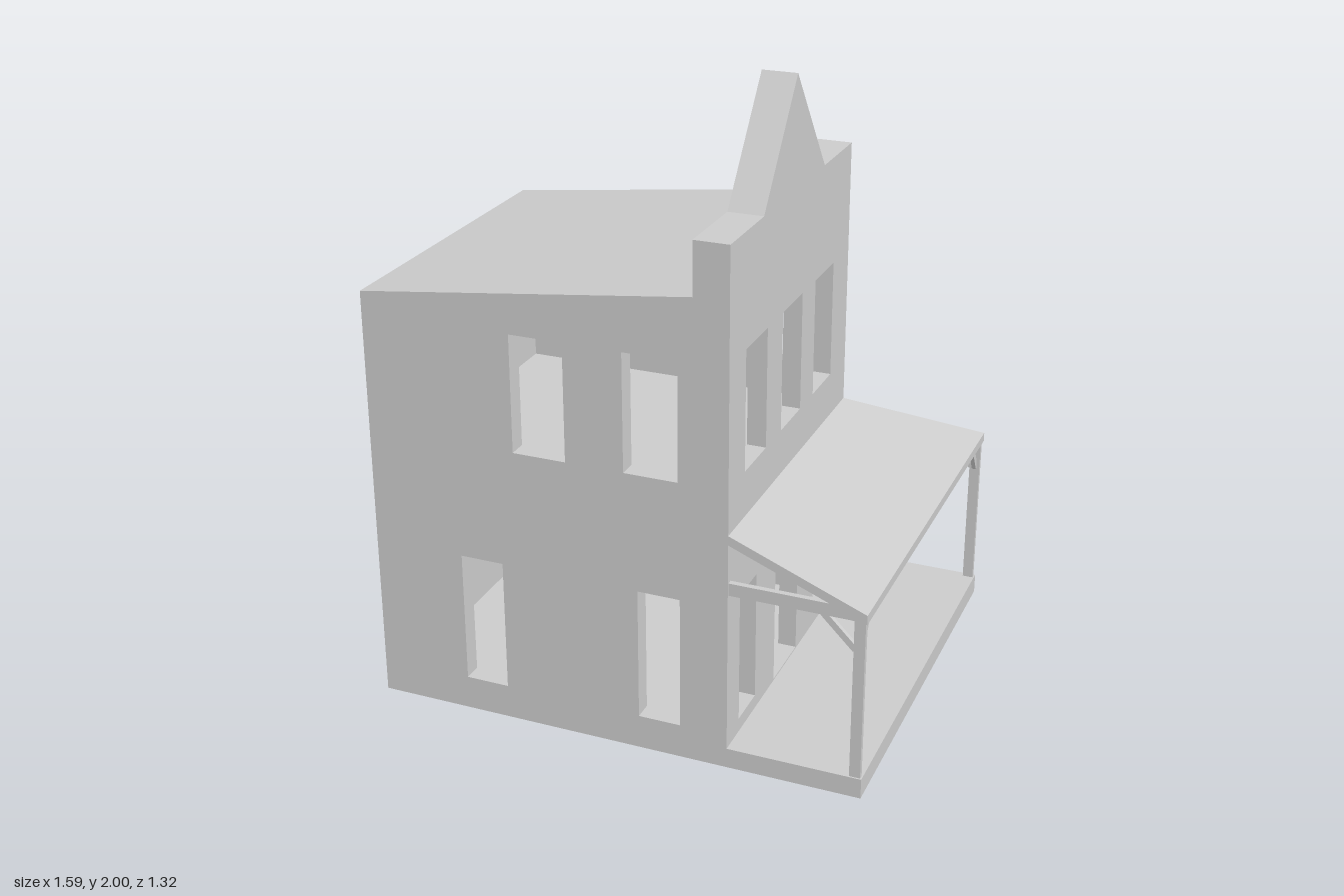
import * as THREE from 'three';

const mat = new THREE.MeshStandardMaterial({ color: 0xcccccc, flatShading: true });

// main dimensions
const X0 = -0.795, X1 = 0.37, Z0 = -0.395, Z1 = 0.66, T = 0.06;
const PX = 0.79, PZ = -0.66, PL = -0.37; // porch extents
const BASE = 0.065;

export function createModel() {
  const model = new THREE.Group();

  const add = (name, geometry) => {
    const mesh = new THREE.Mesh(geometry, mat);
    mesh.name = name;
    model.add(mesh);
    return mesh;
  };
  const box = (name, x0, x1, y0, y1, z0, z1) =>
    add(name, new THREE.BoxGeometry(x1 - x0, y1 - y0, z1 - z0)
      .translate((x0 + x1) / 2, (y0 + y1) / 2, (z0 + z1) / 2));
  const poly = (pts) => pts.map(([x, y]) => new THREE.Vector2(x, y));
  // flat panel with rectangular openings [u0, u1, y0, y1]
  const panel = (outline, openings, depth) => {
    const shape = new THREE.Shape(poly(outline));
    for (const [a, b, c, d] of openings)
      shape.holes.push(new THREE.Path(poly([[a, c], [a, d], [b, d], [b, c]])));
    return new THREE.ExtrudeGeometry(shape, { depth, bevelEnabled: false });
  };

  // front and back walls under the sloping roof
  const side = [[X0, 0], [X1, 0], [X1, 1.49], [0.26, 1.49], [X0, 1.36]];
  add('frontWall', panel(side, [
    [-0.31, -0.14, 0.92, 1.295], [0.045, 0.215, 0.92, 1.295],
    [-0.5, -0.36, 0.11, 0.54], [0.085, 0.22, 0.11, 0.54],
  ], T).translate(0, 0, Z1 - T));
  add('backWall', panel(side, [
    [-0.33, -0.16, 0.92, 1.295], [0.06, 0.23, 0.92, 1.295],
    [-0.67, -0.53, 0.11, 0.54], [0.085, 0.22, 0.11, 0.54],
  ], T).translate(0, 0, Z0));

  // blank end wall
  box('endWall', X0, X0 + T, 0, 1.36, Z0 + T, Z1 - T);

  // entrance wall with door and windows, drawn in (-z, y)
  const a = -Z1, b = -Z0;
  add('entranceWall', panel(
    [[a + T, 0], [b - T, 0], [b - T, 1.49], [a + T, 1.49]], [
      [-0.53, -0.355, 0.925, 1.305], [-0.225, -0.05, 0.925, 1.305], [0.07, 0.245, 0.925, 1.305],
      [-0.56, -0.42, 0.11, 0.535], [0.125, 0.26, 0.11, 0.535],
      [-0.25, -0.04, 0.07, 0.5],
    ], T).rotateY(Math.PI / 2).translate(X1 - T, 0, 0));

  // stepped parapet with pointed gable
  add('parapet', panel(
    [[a, 1.49], [b, 1.49], [b, 1.655], [0.13, 1.655], [-0.135, 2], [-0.4, 1.655], [a, 1.655]],
    [], 0.11).rotateY(Math.PI / 2).translate(X1 - 0.11, 0, 0));

  // roof slab and floors
  add('mainRoof', panel(
    [[X0, 1.31], [X1 - T, 1.44], [X1 - T, 1.49], [0.26, 1.49], [X0, 1.36]],
    [], Z1 - Z0 - 2 * T).translate(0, 0, Z0 + T));
  box('groundFloor', X0 + T, X1 - T, 0, BASE, Z0 + T, Z1 - T);
  box('upperFloor', X0 + T, X1 - T, 0.74, 0.79, Z0 + T, Z1 - T);

  // wraparound porch deck
  box('porchDeckSide', X1, PX, 0, BASE, PZ, Z1);
  box('porchDeckBack', PL, X1, 0, BASE, PZ, Z0);

  // porch roof: three cross-sections, mitred at the corner
  const section = (rx, rz, ex, ez) =>
    [[rx, 0.78, rz], [ex, 0.612, ez], [ex, 0.582, ez], [rx, 0.75, rz]];
  const sections = [
    section(X1, Z1, PX, Z1), section(X1, Z0, PX, PZ), section(PL, Z0, PL, PZ),
  ];
  const pos = [];
  const quad = (p, q, r, s) => pos.push(...p, ...q, ...r, ...p, ...r, ...s);
  for (let i = 0; i < 2; i++) {
    const s = sections[i], t = sections[i + 1];
    for (let k = 0; k < 4; k++) {
      const n = (k + 1) % 4;
      quad(s[k], s[n], t[n], t[k]);
    }
  }
  quad(...[...sections[0]].reverse());
  quad(...sections[2]);
  const roof = new THREE.BufferGeometry();
  roof.setAttribute('position', new THREE.Float32BufferAttribute(pos, 3));
  roof.computeVertexNormals();
  add('porchRoof', roof);

  // porch beams
  box('frontEndBeam', X1, 0.755, 0.585, 0.625, Z1 - 0.022, Z1 - 0.004);
  box('backEndBeam', PL + 0.004, PL + 0.035, 0.585, 0.62, PZ + 0.02, Z0);
  box('sideEaveBeam', 0.752, 0.785, 0.578, 0.605, PZ + 0.005, Z1 - 0.005);
  box('backEaveBeam', PL + 0.004, 0.785, 0.578, 0.605, PZ + 0.005, PZ + 0.02);

  // posts with diagonal braces
  const brace = (x, z, dx, dz) => {
    const from = new THREE.Vector3(x, 0.49, z);
    const to = new THREE.Vector3(x + dx, 0.59, z + dz);
    const mesh = add('brace', new THREE.BoxGeometry(0.014, 0.02, from.distanceTo(to)));
    mesh.position.copy(from).add(to).multiplyScalar(0.5);
    mesh.lookAt(to);
  };
  const posts = [
    [0.768, Z1 - 0.013, -1, -1],
    [0.768, PZ + 0.013, -1, 1],
    [PL + 0.021, PZ + 0.013, 1, 1],
  ];
  for (const [x, z, sx, sz] of posts) {
    box('post', x - 0.017, x + 0.017, BASE, 0.59, z - 0.008, z + 0.008);
    brace(x + sx * 0.012, z, sx * 0.1, 0);
    brace(x, z + sz * 0.005, 0, sz * 0.065);
  }

  return model;
}
